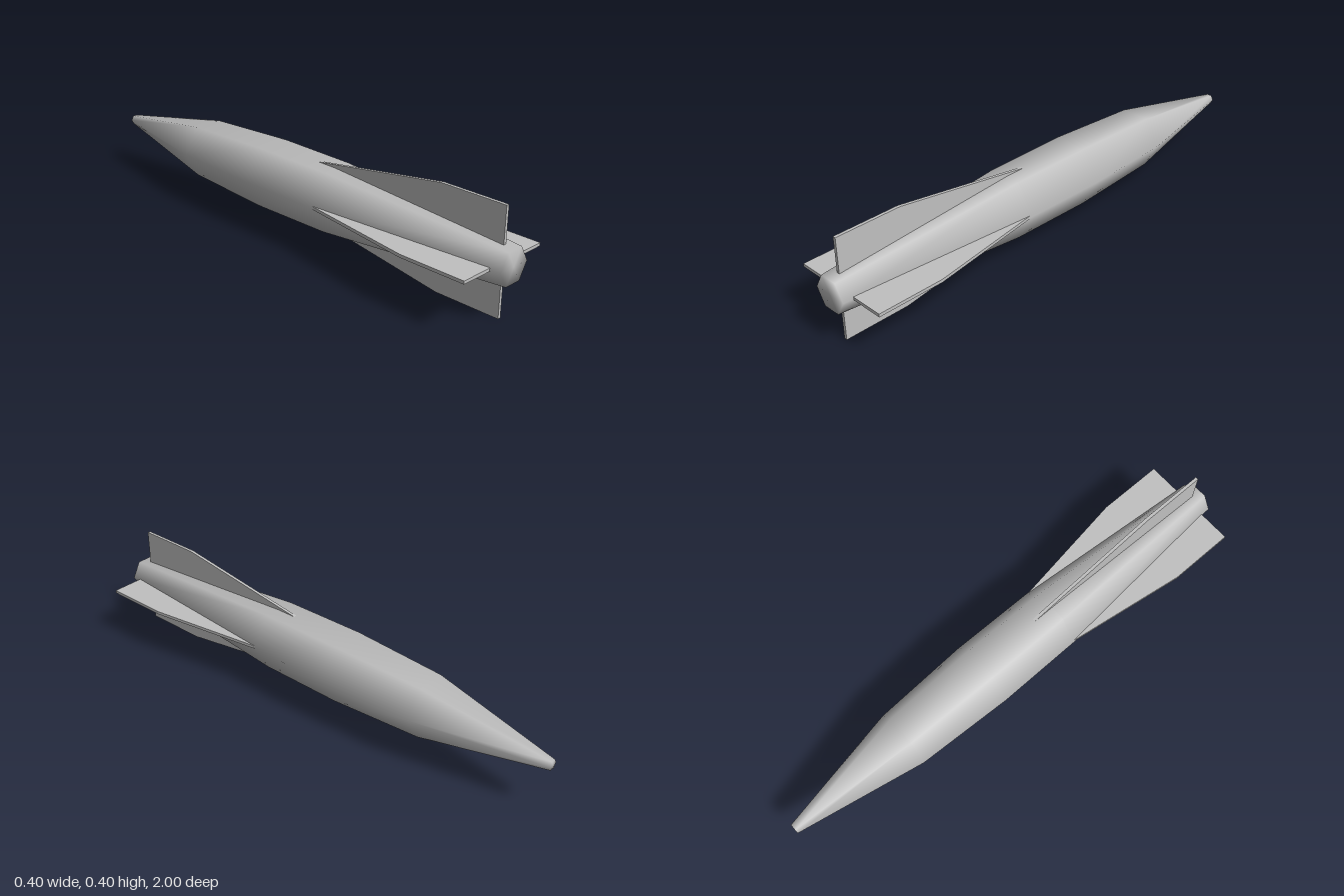
import * as THREE from 'three';

export function createModel() {
  const model = new THREE.Group();
  const grey = new THREE.MeshStandardMaterial({ color: 0xc0c0c0 });
  grey.name = 'hull grey';

  // Everything hangs on the long axis, raised so the lower fin touches y = 0
  const rocket = new THREE.Group();
  rocket.name = 'rocket';
  rocket.position.y = 0.2;
  model.add(rocket);

  // Six-sided smooth body: nose at -z, tail at +z, corners on the x axis
  const profile = [
    [0, -1], [0.02, -1], [0.118, -0.5], [0.136, -0.12],
    [0.133, 0.22], [0.07, 1], [0, 1],
  ].map(([r, z]) => new THREE.Vector2(r, z));
  const bodyGeometry = new THREE.LatheGeometry(profile, 6, Math.PI / 2);
  bodyGeometry.rotateX(Math.PI / 2);
  const body = new THREE.Mesh(bodyGeometry, grey);
  body.name = 'body';
  rocket.add(body);

  // Fin outline: distance from the axis, position along z
  const outline = [[0.05, 0.96], [0.2, 0.96], [0.2, 0.7], [0.106, 0.07]];
  const thickness = 0.012;
  const finGeometry = new THREE.ExtrudeGeometry(
    new THREE.Shape(outline.map(([r, z]) => new THREE.Vector2(r, -z))),
    { depth: thickness, bevelEnabled: false },
  );
  finGeometry.translate(0, 0, -thickness / 2);
  finGeometry.rotateX(-Math.PI / 2);

  // Four fins around the tail
  ['leftFin', 'topFin', 'rightFin', 'bottomFin'].forEach((name, i) => {
    const fin = new THREE.Mesh(finGeometry, grey);
    fin.name = name;
    fin.rotation.z = i * Math.PI / 2;
    rocket.add(fin);
  });

  return model;
}
